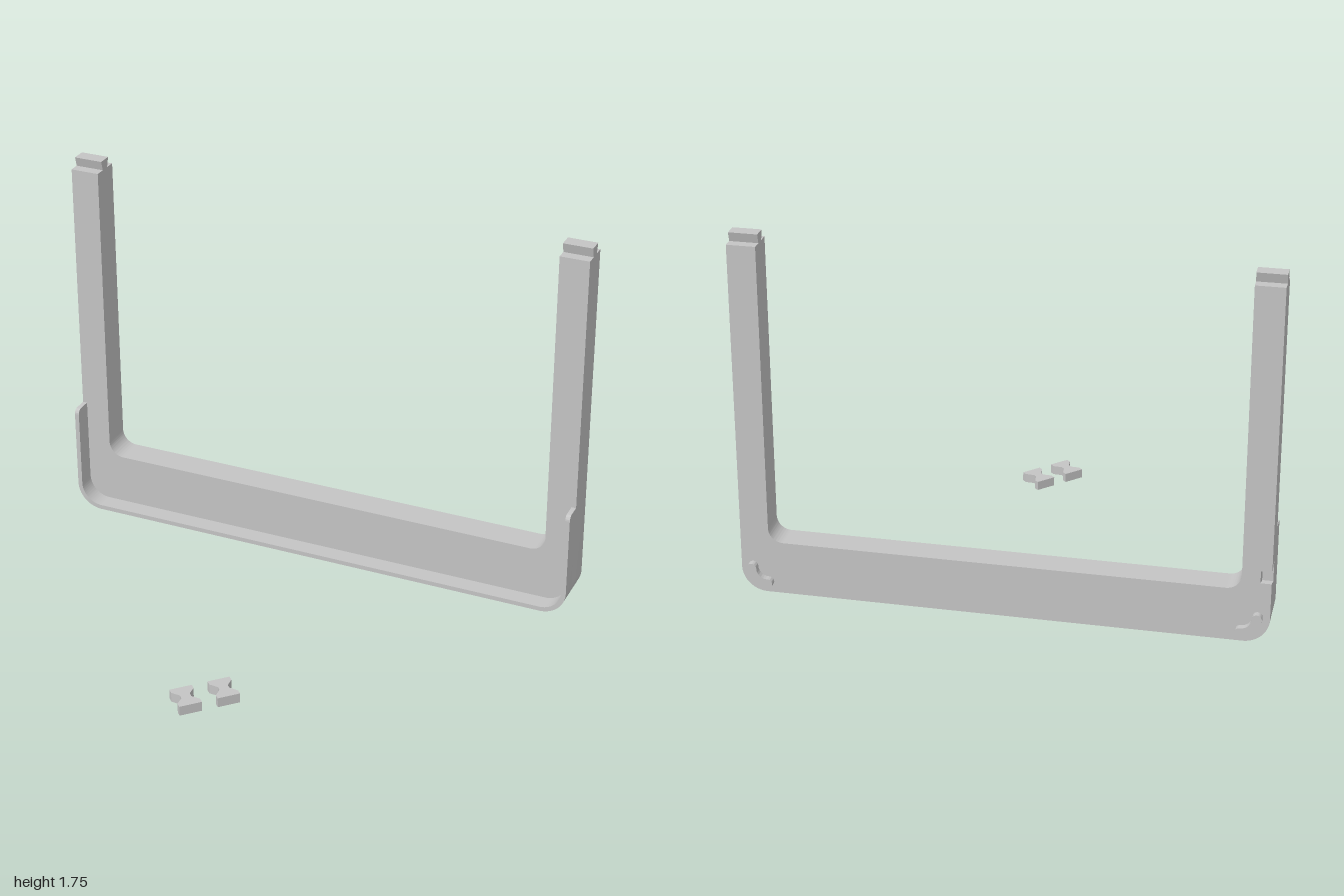
import * as THREE from 'three';
import { toCreasedNormals } from 'three/addons/utils/BufferGeometryUtils.js';

// Frame local axes: x along the bar, y up, z towards the lip
const END = 1.23, POST = 0.134, BACK = -0.184, MID = -0.046, FRONT = 0.037;
const TOP = 1.71, BAR = 0.26, RIM = 0.021, RIM_TOP = 0.517, R = 0.12;

function extrude(shape, depth, z = 0) {
  const geo = new THREE.ExtrudeGeometry(shape, { depth, bevelEnabled: false, curveSegments: 14 });
  geo.translate(0, 0, z);
  return toCreasedNormals(geo, 0.5);
}

const polygon = (pts) => new THREE.Shape(pts.map(([x, y]) => new THREE.Vector2(x, y)));

// Upright U with rounded corners; gap is an optional cut [y0, y1, depth] in the left edge
function uShape(top, wall, floor, rInner, gap) {
  const s = new THREE.Shape();
  const inner = END - wall;
  s.moveTo(-END, R);
  s.absarc(-END + R, R, R, Math.PI, 1.5 * Math.PI, false);
  s.absarc(END - R, R, R, 1.5 * Math.PI, 2 * Math.PI, false);
  s.lineTo(END, top);
  s.lineTo(inner, top);
  s.absarc(inner - rInner, floor + rInner, rInner, 0, -Math.PI / 2, true);
  s.absarc(-inner + rInner, floor + rInner, rInner, -Math.PI / 2, -Math.PI, true);
  s.lineTo(-inner, top);
  s.lineTo(-END, top);
  if (gap) {
    const [y0, y1, d] = gap;
    s.lineTo(-END, y1);
    s.lineTo(-END + d, y1);
    s.lineTo(-END + d, y0);
    s.lineTo(-END, y0);
  }
  s.closePath();
  return s;
}

// Curved peg outline with round ends
function arcSlot(cx, cy, r, w, a0, a1) {
  const s = new THREE.Shape();
  const at = (a) => [cx + r * Math.cos(a), cy + r * Math.sin(a)];
  s.absarc(cx, cy, r + w, a0, a1, false);
  s.absarc(...at(a1), w, a1, a1 + Math.PI, false);
  s.absarc(cx, cy, r - w, a1, a0, true);
  s.absarc(...at(a0), w, a0 + Math.PI, a0 + 2 * Math.PI, false);
  return s;
}

export function createModel() {
  const grey = new THREE.MeshStandardMaterial({ color: 0xc4c4c4 });
  grey.name = 'plain grey';
  const model = new THREE.Group();
  model.name = 'cornerFrame';
  const frame = new THREE.Group();
  frame.name = 'frame';
  frame.rotation.y = -Math.PI / 4;
  model.add(frame);

  const add = (parent, name, geo) => {
    const mesh = new THREE.Mesh(geo, grey);
    mesh.name = name;
    parent.add(mesh);
    return mesh;
  };

  // Main U body, with room for the key slot on the left post
  const gap = [0.265, 0.395, 0.05];
  add(frame, 'body', extrude(uShape(TOP, POST, BAR, 0.07, gap), MID - BACK, BACK));

  // Block holding the dovetail key slot, drawn in (-z, y) and turned to run along x
  const slot = polygon([
    [-MID, gap[0]], [-BACK, gap[0]], [-BACK, 0.3], [0.165, 0.3], [0.135, 0.28], [0.115, 0.28],
    [0.115, 0.38], [0.135, 0.38], [0.165, 0.36], [-BACK, 0.36], [-BACK, gap[1]], [-MID, gap[1]],
  ]);
  const slotGeo = extrude(slot, gap[2]);
  slotGeo.rotateY(Math.PI / 2);
  slotGeo.translate(-END, 0, 0);
  add(frame, 'keySlot', slotGeo);

  // Thin rim standing forward of the body
  const r = 0.025;
  add(frame, 'rim', extrude(uShape(RIM_TOP - r, RIM, RIM, 0.1), FRONT - MID, MID));

  for (const side of [-1, 1]) {
    const label = side < 0 ? 'right' : 'left';

    // Rim end with a rounded front corner
    const cap = new THREE.Shape();
    cap.moveTo(-FRONT, RIM_TOP - r);
    cap.lineTo(-MID, RIM_TOP - r);
    cap.lineTo(-MID, RIM_TOP);
    cap.lineTo(-FRONT + r, RIM_TOP);
    cap.absarc(-FRONT + r, RIM_TOP - r, r, Math.PI / 2, Math.PI, false);
    const capGeo = extrude(cap, RIM);
    capGeo.rotateY(Math.PI / 2);
    capGeo.translate(side < 0 ? -END : END - RIM, 0, 0);
    add(frame, label + 'RimEnd', capGeo);

    // Dovetail tenon on the post top
    const mid = -(BACK + MID) / 2;
    const tenon = polygon([
      [mid - 0.02, TOP - 0.002], [mid + 0.02, TOP - 0.002],
      [mid + 0.033, TOP + 0.045], [mid - 0.033, TOP + 0.045],
    ]);
    const tenonGeo = extrude(tenon, POST);
    tenonGeo.rotateY(Math.PI / 2);
    tenonGeo.translate(side < 0 ? -END : END - POST, 0, 0);
    add(frame, label + 'Tenon', tenonGeo);

    // Curved peg on the back face
    const a0 = side < 0 ? Math.PI : -Math.PI / 2;
    const peg = arcSlot(side * 1.1, 0.13, 0.074, 0.023, a0, a0 + Math.PI / 2);
    add(frame, label + 'Peg', extrude(peg, 0.034, BACK - 0.032));
  }

  // Two loose bow-tie keys lying on the ground
  const half = [[0.05, -0.067], [0.05, -0.043], [0.022, -0.01], [0.022, 0.01], [0.05, 0.043], [0.05, 0.067]];
  const bow = polygon([...half, ...half.map(([x, y]) => [-x, -y])]);
  for (const x of [-0.95, -0.78]) {
    const geo = extrude(bow, 0.045);
    geo.rotateX(-Math.PI / 2);
    add(model, 'bowTieKey', geo).position.set(x, 0, 0.928);
  }
  return model;
}
